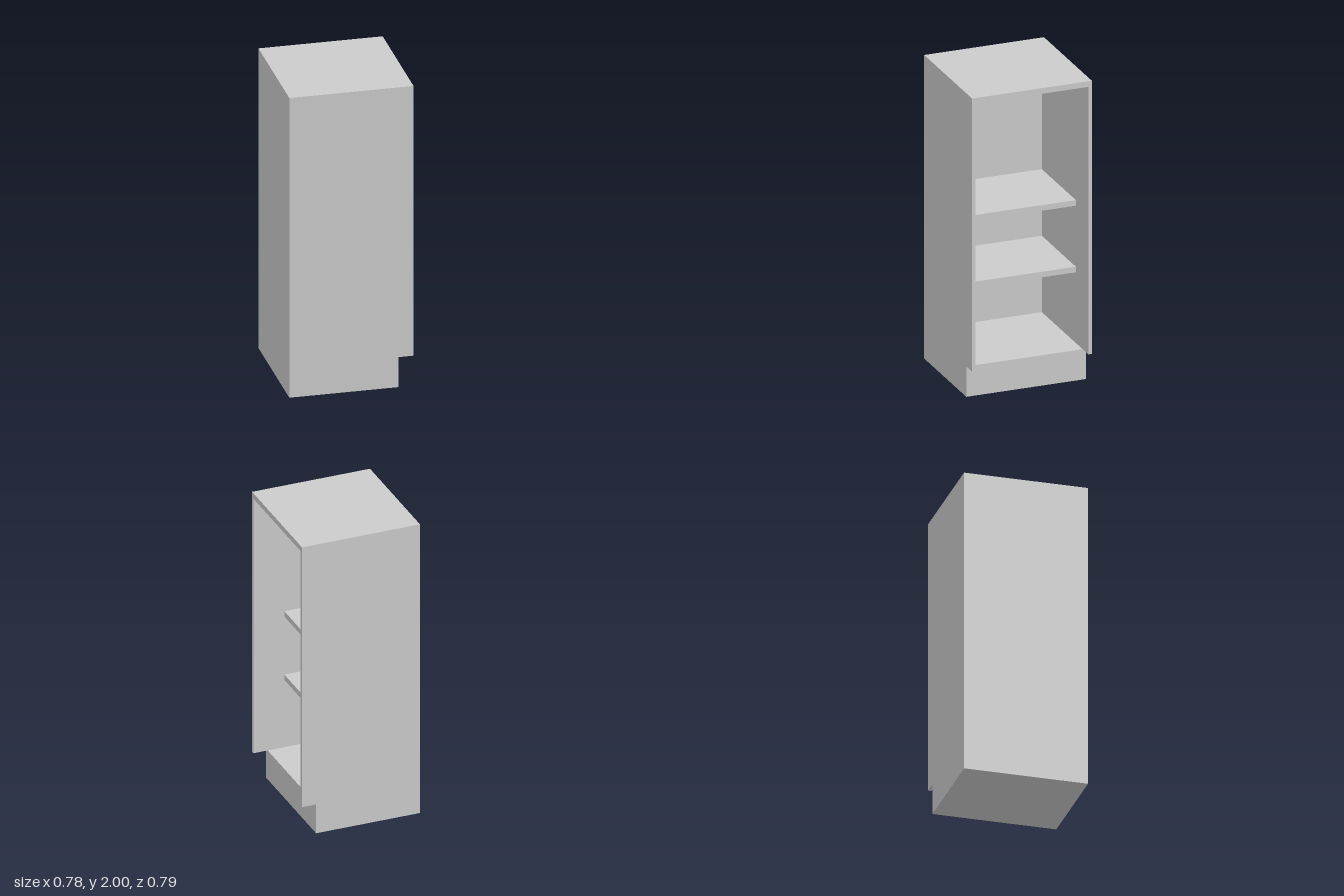
import * as THREE from 'three';

export function createModel() {
  const model = new THREE.Group();
  model.name = 'openCabinet';
  const material = new THREE.MeshStandardMaterial({ color: 0xcccccc, flatShading: true });

  // Cabinet opens toward +x
  const X = 0.392, Z = 0.396, HEIGHT = 2;
  const SIDE = 0.023, BOARD = 0.037;
  const BASE_TOP = 0.2, BASE_FRONT = 0.298, SHELF_FRONT = 0.187;
  const innerZ = Z - SIDE, innerX = -X + SIDE, topUnder = HEIGHT - BOARD;

  // Box given by its lower and upper corners
  function board(name, [x0, y0, z0], [x1, y1, z1]) {
    const mesh = new THREE.Mesh(new THREE.BoxGeometry(x1 - x0, y1 - y0, z1 - z0), material);
    mesh.position.set((x0 + x1) / 2, (y0 + y1) / 2, (z0 + z1) / 2);
    mesh.name = name;
    model.add(mesh);
  }

  // Recessed plinth, its top serves as the cabinet floor
  board('plinth', [-X, 0, -Z], [BASE_FRONT, BASE_TOP, Z]);

  // Outer shell
  board('topPanel', [-X, topUnder, -Z], [X, HEIGHT, Z]);
  board('leftSidePanel', [-X, BASE_TOP, innerZ], [X, topUnder, Z]);
  board('rightSidePanel', [-X, BASE_TOP, -Z], [X, topUnder, -innerZ]);
  board('backPanel', [-X, BASE_TOP, -innerZ], [innerX, topUnder, innerZ]);

  // Set-back shelves
  [['lowerShelf', 0.666], ['upperShelf', 1.105]].forEach(([name, y]) =>
    board(name, [innerX, y, -innerZ], [SHELF_FRONT, y + BOARD, innerZ]));

  return model;
}
